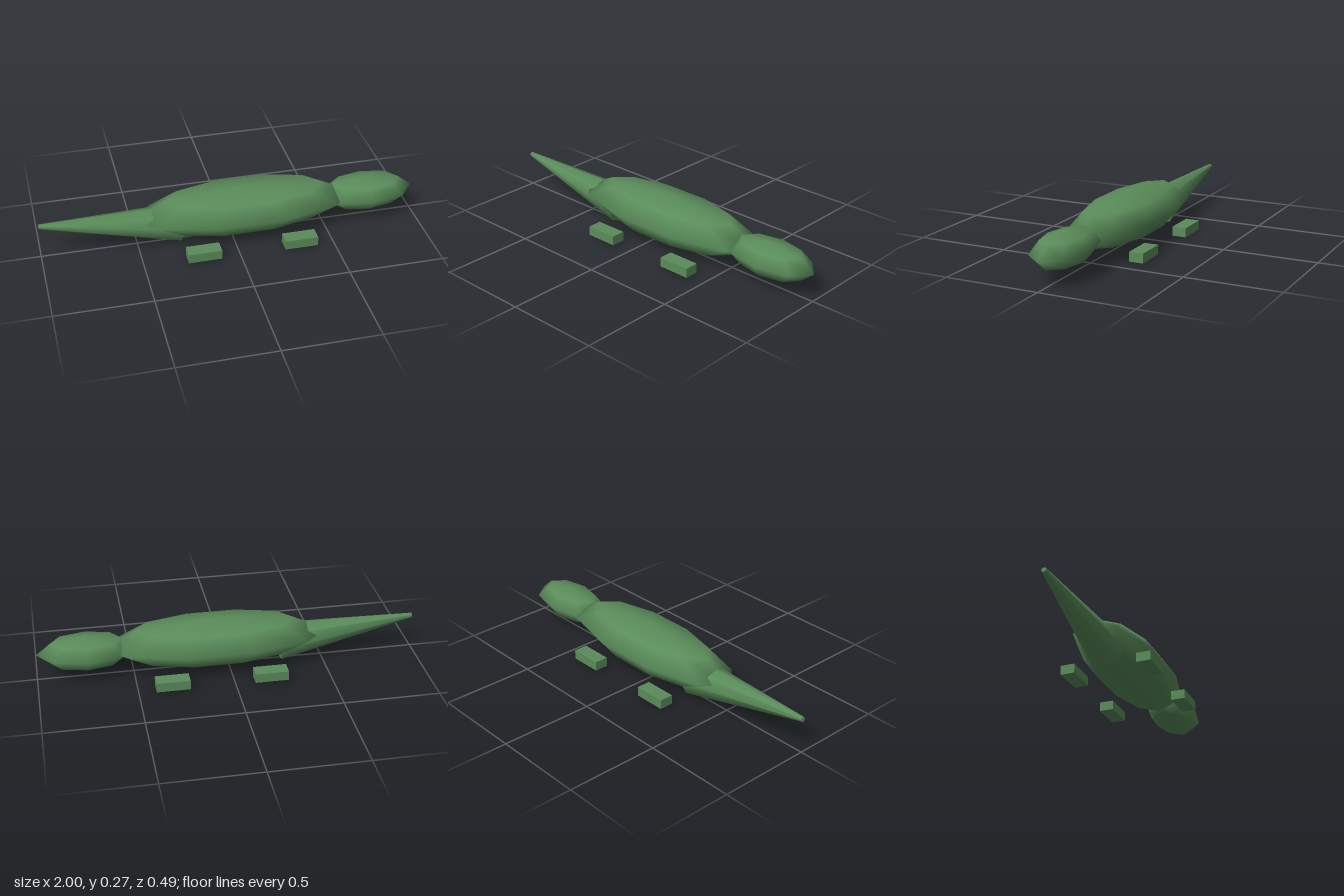
import * as THREE from 'three';

export function createModel() {
  const group = new THREE.Group();
  const green = new THREE.MeshStandardMaterial({ color: 0x5a8c5a });

  function add(name, geometry, x, y, z) {
    const mesh = new THREE.Mesh(geometry, green);
    mesh.name = name;
    mesh.position.set(x, y, z);
    group.add(mesh);
    return mesh;
  }

  // Body and head: coarse, smooth-shaded ellipsoids
  add('body', new THREE.SphereGeometry(1, 10, 4), 0.07, 0.154, 0).scale.set(0.594, 0.12, 0.201);
  add('head', new THREE.SphereGeometry(1, 8, 4), 0.74, 0.147, 0).scale.set(0.257, 0.086, 0.134);

  // Tail: tapered eight-sided cone from the belly up to the tip
  const base = new THREE.Vector3(-0.268, 0.104, 0);
  const tip = new THREE.Vector3(-0.998, 0.187, 0);
  const axis = tip.clone().sub(base);
  const centre = base.clone().lerp(tip, 0.5);
  const tail = add('tail', new THREE.CylinderGeometry(0.013, 0.102, axis.length(), 8), centre.x, centre.y, 0);
  tail.rotation.z = Math.atan2(axis.y, axis.x) - Math.PI / 2;

  // Feet: four flat blocks beside the body
  const footShape = new THREE.BoxGeometry(0.175, 0.05, 0.076);
  for (const [end, x] of [['front', 0.323], ['rear', -0.188]]) {
    for (const [side, s] of [['Near', 1], ['Far', -1]]) {
      add(`${end}Foot${side}`, footShape, x, 0.033, s * 0.206);
    }
  }
  return group;
}
